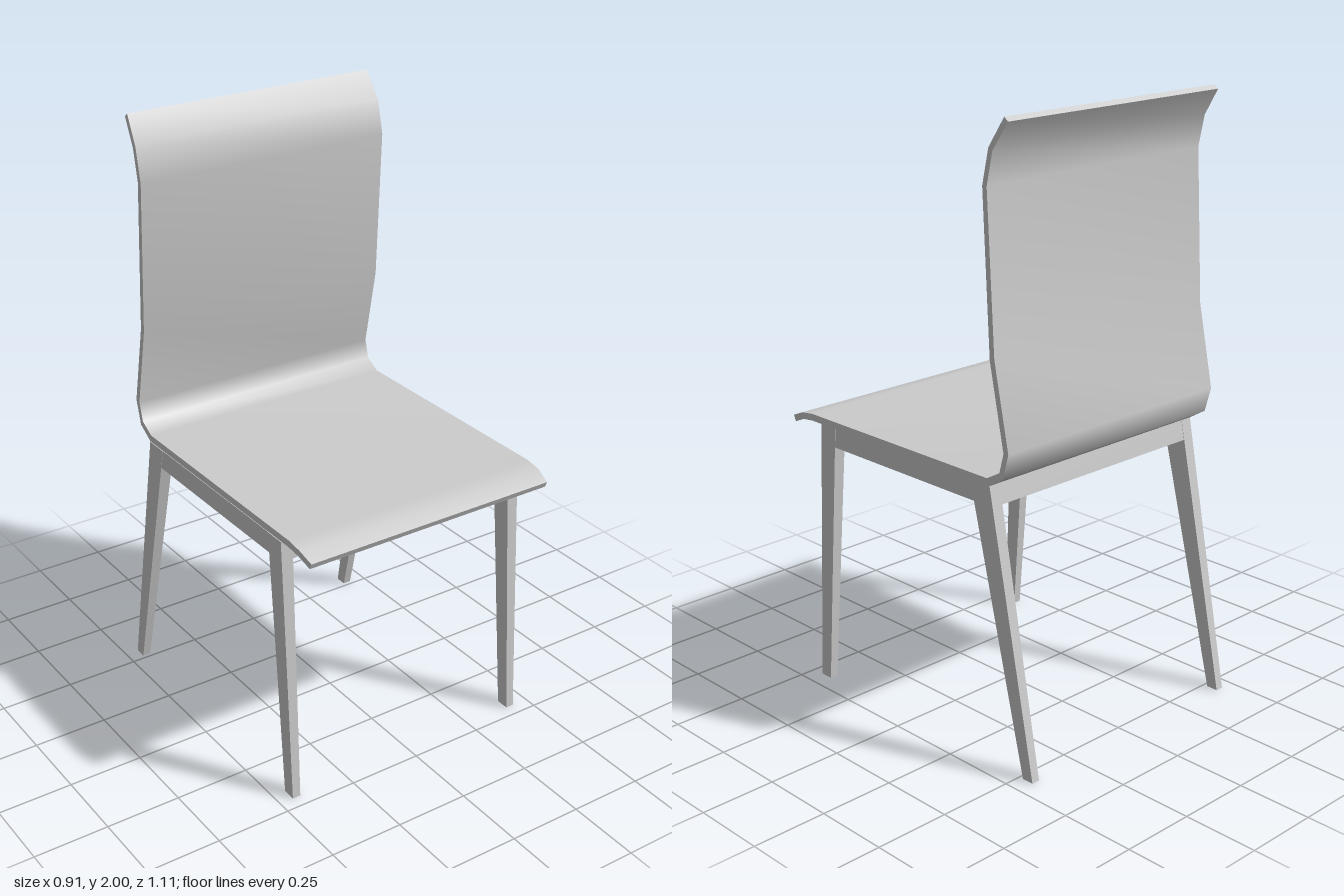
import * as THREE from 'three';
import { mergeGeometries } from 'three/addons/utils/BufferGeometryUtils.js';

const material = new THREE.MeshStandardMaterial({ color: 0xcccccc });

// Ribbon of quads between two rows of points, smooth along its length
function strip(rowA, rowB) {
  const positions = [], index = [];
  rowA.forEach((a, i) => {
    positions.push(...a, ...rowB[i]);
    if (i > 0) {
      const k = 2 * i - 2;
      index.push(k, k + 1, k + 2, k + 1, k + 3, k + 2);
    }
  });
  const geometry = new THREE.BufferGeometry();
  geometry.setAttribute('position', new THREE.Float32BufferAttribute(positions, 3));
  geometry.setIndex(index);
  geometry.computeVertexNormals();
  return geometry;
}

// Bent sheet forming seat and backrest: [upper z, upper y, lower z, lower y, half width]
function shellGeometry() {
  const profile = [
    [0.558, 0.906, 0.549, 0.886, 0.445],
    [0.505, 0.929, 0.498, 0.908, 0.452],
    [0.45, 0.937, 0.447, 0.914, 0.453],
    [-0.372, 0.937, -0.38, 0.914, 0.453],
    [-0.425, 0.967, -0.439, 0.95, 0.453],
    [-0.442, 1.03, -0.462, 1.032, 0.453],
    [-0.386, 1.3, -0.405, 1.304, 0.453],
    [-0.358, 1.8, -0.376, 1.8, 0.453],
    [-0.382, 1.91, -0.398, 1.902, 0.452],
    [-0.438, 2.0, -0.453, 1.988, 0.445],
  ];
  const row = (side, lower) => profile.map(p => [side * p[4], p[lower + 1], p[lower]]);
  const topR = row(-1, 0), topL = row(1, 0), lowR = row(-1, 2), lowL = row(1, 2);
  const n = profile.length - 1;
  return mergeGeometries([
    strip(topR, topL),
    strip(lowL, lowR),
    strip(topL, lowL),
    strip(lowR, topR),
    strip([lowR[0], topR[0]], [lowL[0], topL[0]]),
    strip([topR[n], lowR[n]], [topL[n], lowL[n]]),
  ]);
}

// Box whose bottom and top rectangles differ: [x0, x1, z0, z1]
function taperedBox(bottom, top, y0, y1) {
  const geometry = new THREE.BoxGeometry(1, 1, 1);
  const p = geometry.attributes.position;
  for (let i = 0; i < p.count; i++) {
    const r = p.getY(i) > 0 ? top : bottom;
    p.setXYZ(i, r[p.getX(i) > 0 ? 1 : 0], p.getY(i) > 0 ? y1 : y0, r[p.getZ(i) > 0 ? 3 : 2]);
  }
  geometry.computeVertexNormals();
  return geometry;
}

export function createModel() {
  const chair = new THREE.Group();
  chair.name = 'chair';
  const add = (parent, name, geometry) => {
    const mesh = new THREE.Mesh(geometry, material);
    mesh.name = name;
    parent.add(mesh);
  };

  add(chair, 'seatAndBackShell', shellGeometry());

  // Underframe sits slightly off the centre line
  const frame = new THREE.Group();
  frame.name = 'frame';
  frame.position.x = -0.005;
  chair.add(frame);

  const railBottom = 0.846, railTop = 0.914;
  for (const [side, label] of [[1, 'left'], [-1, 'right']]) {
    const span = (inner, outer) => (side > 0 ? [inner, outer] : [-outer, -inner]);
    const foot = span(0.42, 0.448), head = span(0.41, 0.451);

    // Tapered, splayed legs
    add(frame, label + 'FrontLeg',
      taperedBox([...foot, 0.412, 0.457], [...head, 0.341, 0.412], 0, railTop));
    add(frame, label + 'BackLeg',
      taperedBox([...foot, -0.556, -0.515], [...head, -0.375, -0.292], 0, railTop));

    // Side rail between the legs
    const rail = [...span(0.41, 0.45), -0.32, 0.36];
    add(frame, label + 'SideRail', taperedBox(rail, rail, railBottom, railTop));
  }

  // Front and back rails
  add(frame, 'frontRail',
    taperedBox([-0.415, 0.415, 0.365, 0.414], [-0.415, 0.415, 0.362, 0.411], railBottom, railTop));
  add(frame, 'backRail',
    taperedBox([-0.415, 0.415, -0.387, -0.34], [-0.415, 0.415, -0.374, -0.327], railBottom, railTop));

  return chair;
}
